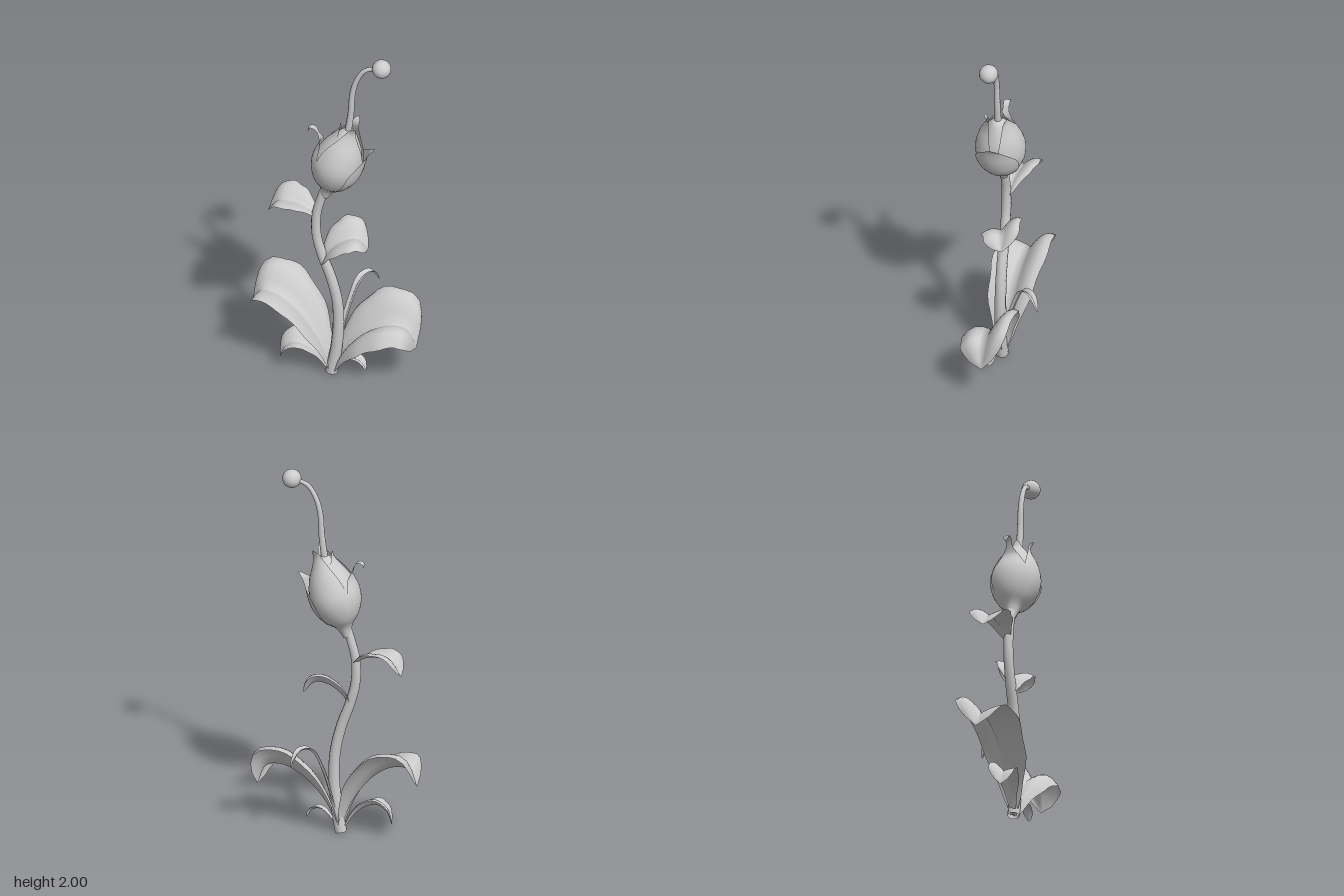
import * as THREE from 'three';
import { mergeVertices } from 'three/addons/utils/BufferGeometryUtils.js';

const STEM_Z = 0.05;
const rad = THREE.MathUtils.degToRad;

export function createModel() {
  const model = new THREE.Group();
  model.name = 'budPlant';
  const grey = new THREE.MeshStandardMaterial({ color: 0xcccccc, side: THREE.DoubleSide });
  grey.name = 'plant grey';

  const add = (name, geometry, parent = model) => {
    const mesh = new THREE.Mesh(geometry, grey);
    mesh.name = name;
    parent.add(mesh);
    return mesh;
  };

  // Smooth surface from a rule point(u, v), both 0..1
  function surface(nu, nv, point) {
    const pos = [], index = [];
    for (let i = 0; i <= nu; i++) {
      for (let j = 0; j <= nv; j++) pos.push(...point(i / nu, j / nv));
    }
    for (let i = 0; i < nu; i++) {
      for (let j = 0; j < nv; j++) {
        const a = i * (nv + 1) + j, b = a + nv + 1;
        index.push(a, a + 1, b, b, a + 1, b + 1);
      }
    }
    let geo = new THREE.BufferGeometry();
    geo.setAttribute('position', new THREE.Float32BufferAttribute(pos, 3));
    geo.setIndex(index);
    geo = mergeVertices(geo, 1e-5);
    geo.computeVertexNormals();
    return geo;
  }

  const curve2d = (pts) => new THREE.CatmullRomCurve3(pts.map(([x, y]) => new THREE.Vector3(x, y, 0)));

  // Tapered round stalk along a path in the plane z = STEM_Z
  function stalk(name, pts, r0, r1, steps) {
    const path = curve2d(pts);
    add(name, surface(steps, 10, (u, v) => {
      const p = path.getPoint(u), t = path.getTangent(u);
      const r = r0 + (r1 - r0) * u, a = v * Math.PI * 2;
      const n = r * Math.cos(a);
      return [p.x - t.y * n, p.y + t.x * n, STEM_Z + r * Math.sin(a)];
    }));
  }

  // Leaf: midrib of [distance, height], heading in degrees, each half lifted into a V;
  // droop curls the right-hand edge back down
  function leaf(name, pts, heading, half, liftLeft, liftRight, droop = 0) {
    const path = curve2d(pts);
    const c = Math.cos(rad(heading)), s = Math.sin(rad(heading));
    add(name, surface(20, 10, (u, v) => {
      const p = path.getPoint(u), t = path.getTangent(u);
      const k = v * 2 - 1, edge = Math.abs(k);
      const grow = 0.12 + 0.88 * Math.sin(Math.PI / 2 * Math.min(1, u / 0.6));
      const end = Math.pow(1 - Math.pow(Math.max(0, (u - 0.6) / 0.4), 3), 0.65);
      const w = grow * end * (1 + 0.04 * Math.sin(u * 24) * edge);
      const rise = Math.sin(edge * 1.9);
      const lift = w * (k > 0 ? liftLeft * rise : liftRight * rise - droop * edge ** 3);
      const d = p.x - t.y * 0.35 * lift;
      const y = p.y + (0.65 + 0.35 * t.x) * lift;
      const side = k * half * w;
      return [d * c - side * s, Math.max(0, y), STEM_Z - d * s - side * c];
    }));
  }

  // Stem
  stalk('stem', [[-0.01, 0], [0.015, 0.15], [0.027, 0.32], [0.018, 0.46], [-0.015, 0.6], [-0.06, 0.73],
    [-0.088, 0.85], [-0.088, 0.98], [-0.064, 1.08], [-0.04, 1.16]], 0.032, 0.022, 36);

  // Base leaves
  leaf('largeLeftLeaf', [[0.01, 0], [0.05, 0.13], [0.11, 0.24], [0.2, 0.35], [0.3, 0.415], [0.385, 0.42], [0.437, 0.33]],
    172.5, 0.148, 0.025, 0.125);
  leaf('largeRightLeaf', [[0, 0], [0.05, 0.12], [0.12, 0.22], [0.2, 0.29], [0.3, 0.335], [0.385, 0.32], [0.432, 0.21]],
    1, 0.14, 0.15, 0.035, 0.085);
  leaf('smallLeftLeaf', [[0.02, 0], [0.08, 0.1], [0.14, 0.15], [0.2, 0.165], [0.25, 0.13], [0.275, 0.06]],
    184, 0.07, 0.01, 0.055);
  leaf('smallRightLeaf', [[0, 0], [0.06, 0.08], [0.11, 0.105], [0.15, 0.09], [0.177, 0.045]],
    -6, 0.03, 0.02, 0.01);
  leaf('backLeaf', [[0, 0], [0.05, 0.2], [0.11, 0.38], [0.18, 0.5], [0.25, 0.51], [0.305, 0.44]],
    52, 0.022, 0.015, 0.015);

  // Stem leaves
  leaf('middleStemLeaf', [[-0.06, 0.68], [-0.02, 0.76], [0.05, 0.82], [0.12, 0.835], [0.18, 0.775]],
    14, 0.1, 0.08, 0.015, 0.03);
  leaf('upperStemLeaf', [[0.08, 0.95], [0.15, 1.0], [0.22, 1.015], [0.29, 1.01], [0.35, 0.935]],
    172, 0.1, 0.015, 0.055);

  // Bud: leaning group of overlapping petals around a closed core
  const bud = new THREE.Group();
  bud.name = 'bud';
  bud.position.set(-0.047, 1.1, STEM_Z);
  bud.rotation.z = -rad(17);
  model.add(bud);

  const cup = [[0.022, 0], [0.042, 0.06], [0.088, 0.11], [0.122, 0.18], [0.13, 0.25]];
  const coreProfile = [...cup, [0.108, 0.33], [0.068, 0.4], [0.03, 0.45], [0.001, 0.46]]
    .map(([r, y]) => new THREE.Vector2(r * 0.94, y));
  add('budCore', new THREE.LatheGeometry(new THREE.SplineCurve(coreProfile).getPoints(20), 24), bud);

  // Petal: spreads over the cup, then narrows between neck[0] and neck[1] to the fraction neck[2]
  function petal(name, tip, azimuth, spread, scale, neck) {
    const path = curve2d([...cup, ...tip]);
    add(name, surface(26, 10, (u, v) => {
      const p = path.getPoint(u);
      const narrow = 1 - (1 - neck[2]) * THREE.MathUtils.smoothstep(u, neck[0], neck[1]);
      const open = Math.sqrt(1 - Math.pow(u, 5)) * narrow;
      const a = rad(azimuth + (v * 2 - 1) * spread * open);
      const r = p.x * scale;
      return [r * Math.cos(a), p.y, r * Math.sin(a)];
    }), bud);
  }
  const upright = [[0.108, 0.34], [0.068, 0.42], [0.052, 0.47], [0.066, 0.515]];
  petal('frontPetal', upright, 74, 68, 1, [0.55, 1, 0.45]);
  petal('backPetal', upright, -74, 68, 1, [0.55, 1, 0.45]);
  petal('innerLeftPetal', [[0.106, 0.33], [0.072, 0.4], [0.056, 0.44], [0.06, 0.475]], 180, 75, 0.97, [0.6, 1, 0.4]);
  petal('rightPetal', [[0.127, 0.31], [0.128, 0.355], [0.146, 0.395]], 0, 58, 1.06, [0.5, 1, 0.2]);
  petal('curledLeftPetal', [[0.118, 0.32], [0.135, 0.355], [0.16, 0.385], [0.185, 0.388], [0.196, 0.37], [0.186, 0.352]],
    180, 52, 1.03, [0.3, 0.64, 0.12]);

  // Filament with round tip
  stalk('filament', [[0.055, 1.42], [0.075, 1.52], [0.092, 1.65], [0.1, 1.77], [0.125, 1.86], [0.17, 1.925], [0.25, 1.947]],
    0.02, 0.01, 24);
  add('filamentTip', new THREE.SphereGeometry(0.049, 20, 14)).position.set(0.252, 1.947, STEM_Z + 0.002);

  return model;
}
